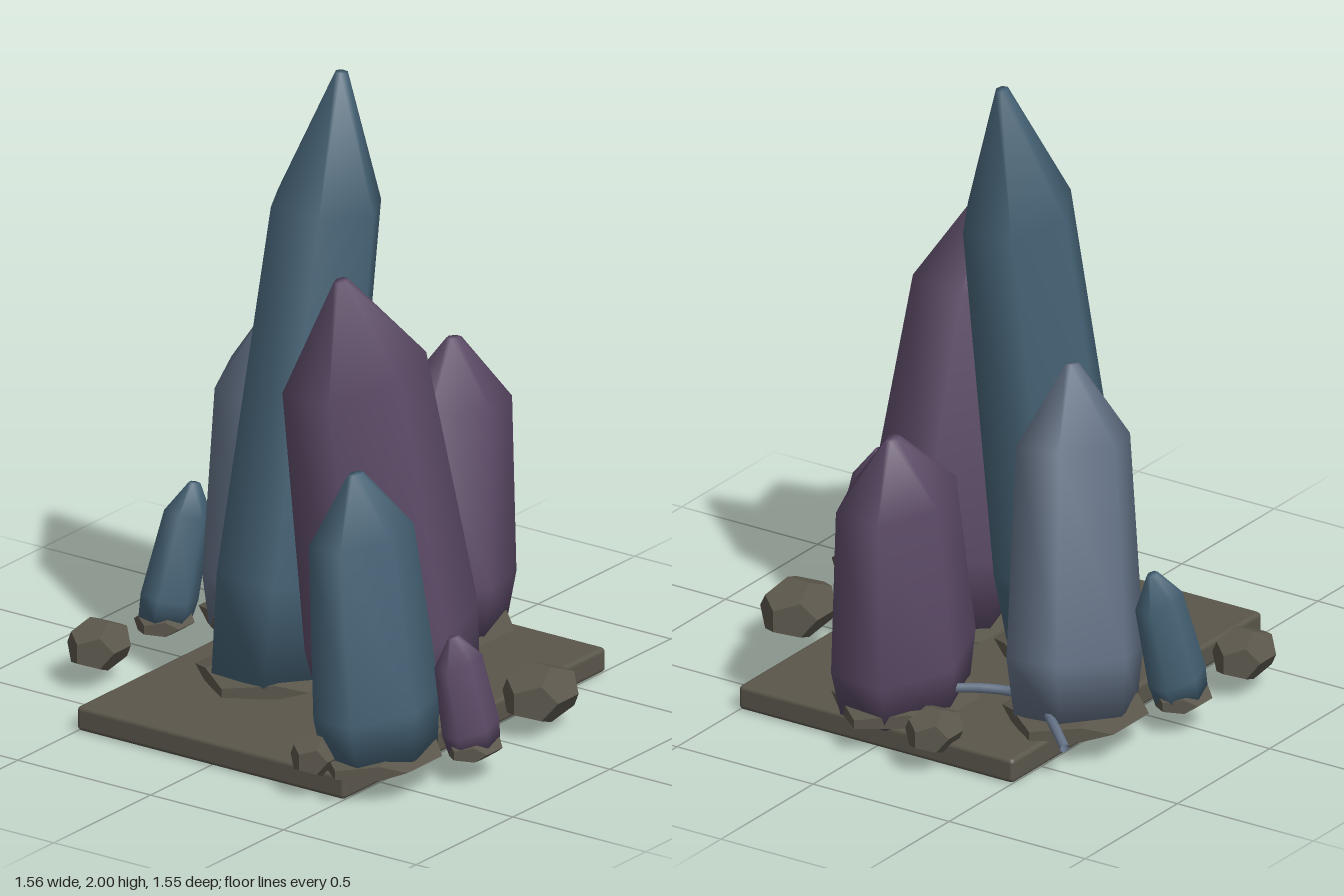
import * as THREE from 'three';
import { RoundedBoxGeometry } from 'three/addons/geometries/RoundedBoxGeometry.js';

const BLUE = 0x456275, PURPLE = 0x5b4a66, SLATE = 0x627084, STONE = 0x5a564b;
const BASE_Y = 0.1;

const material = (color, extra = {}) => new THREE.MeshStandardMaterial({ color, ...extra });

// Faceted stone, sized by its half extents
function stone(name, [x, y, z], [hx, hy, hz]) {
  const geometry = new THREE.DodecahedronGeometry(1 / 0.934);
  geometry.scale(hx, hy, hz);
  const mesh = new THREE.Mesh(geometry, material(STONE, { flatShading: true }));
  mesh.name = name;
  mesh.position.set(x, y, z);
  return mesh;
}

// Six-sided crystal leaning from its foot to its tip
function crystal({ name, color, foot, tip, rx, rz, yaw }) {
  const start = new THREE.Vector3(foot[0], BASE_Y, foot[1]);
  const axis = new THREE.Vector3(...tip).sub(start);
  const height = axis.length();
  const tipRadius = Math.min(0.02 / rx, 0.2);
  const profile = [[0, 0], [0.9, 0], [1, 0.17], [0.83, 0.78], [tipRadius, 1], [0, 1]]
    .map(([r, t]) => new THREE.Vector2(r, t * height));
  const geometry = new THREE.LatheGeometry(profile, 6, Math.PI / 2);
  geometry.scale(rx, 1, rz);
  geometry.rotateY(-THREE.MathUtils.degToRad(yaw));
  const mesh = new THREE.Mesh(geometry, material(color, { side: THREE.DoubleSide }));
  mesh.name = name;
  mesh.position.copy(start);
  mesh.quaternion.setFromUnitVectors(new THREE.Vector3(0, 1, 0), axis.normalize());
  return mesh;
}

export function createModel() {
  const model = new THREE.Group();
  model.name = 'crystalCluster';

  // Stone slab
  const slab = new THREE.Mesh(new RoundedBoxGeometry(1.01, 0.08, 1.355, 2, 0.015), material(STONE));
  slab.name = 'baseSlab';
  slab.position.set(0, 0.04, 0.015);
  model.add(slab);

  // Crystals, each rising from a flat collar stone
  const crystals = [
    { name: 'tallCrystal', color: BLUE, foot: [-0.18, 0.13], tip: [-0.08, 2, -0.095], rx: 0.21, rz: 0.245, yaw: -3 },
    { name: 'largeCrystal', color: PURPLE, foot: [0.29, 0.1], tip: [0.195, 1.5, 0.285], rx: 0.238, rz: 0.3, yaw: 8 },
    { name: 'slateCrystal', color: SLATE, foot: [-0.47, -0.27], tip: [-0.35, 1.16, -0.11], rx: 0.2, rz: 0.24, yaw: 5 },
    { name: 'backCrystal', color: PURPLE, foot: [0.02, -0.47], tip: [-0.01, 1, -0.58], rx: 0.195, rz: 0.265, yaw: 5 },
    { name: 'frontCrystal', color: BLUE, foot: [0.51, 0.51], tip: [0.43, 1, 0.53], rx: 0.16, rz: 0.225, yaw: 8 },
    { name: 'smallLeftCrystal', color: PURPLE, foot: [0.705, 0.295], tip: [0.66, 0.46, 0.34], rx: 0.072, rz: 0.1, yaw: 12 },
    { name: 'smallRightCrystal', color: BLUE, foot: [-0.685, -0.01], tip: [-0.64, 0.53, -0.105], rx: 0.08, rz: 0.1, yaw: 10 },
  ];
  for (const c of crystals) {
    model.add(crystal(c));
    model.add(stone(c.name + 'Collar', [c.foot[0], 0.1, c.foot[1]], [c.rx + 0.005, 0.037, c.rz * 1.05]));
  }

  // Loose rocks around the slab
  const rocks = [
    [[-0.69, 0.125, 0.32], [0.088, 0.08, 0.113]],
    [[-0.225, 0.12, -0.675], [0.08, 0.07, 0.103]],
    [[0.63, 0.122, -0.15], [0.105, 0.09, 0.137]],
    [[0.395, 0.125, 0.69], [0.07, 0.064, 0.085]],
  ];
  rocks.forEach(([p, size], i) => model.add(stone('rock' + (i + 1), p, size)));

  // Thin root winding behind the crystals
  const path = new THREE.CatmullRomCurve3([
    [-0.61, 0.1, -0.535], [-0.52, 0.14, -0.47], [-0.42, 0.15, -0.39],
    [-0.31, 0.15, -0.365], [-0.2, 0.15, -0.4], [-0.08, 0.14, -0.46],
  ].map((p) => new THREE.Vector3(...p)));
  const root = new THREE.Mesh(
    new THREE.TubeGeometry(path, 32, 0.016, 8), material(SLATE, { side: THREE.DoubleSide }));
  root.name = 'root';
  model.add(root);

  return model;
}
